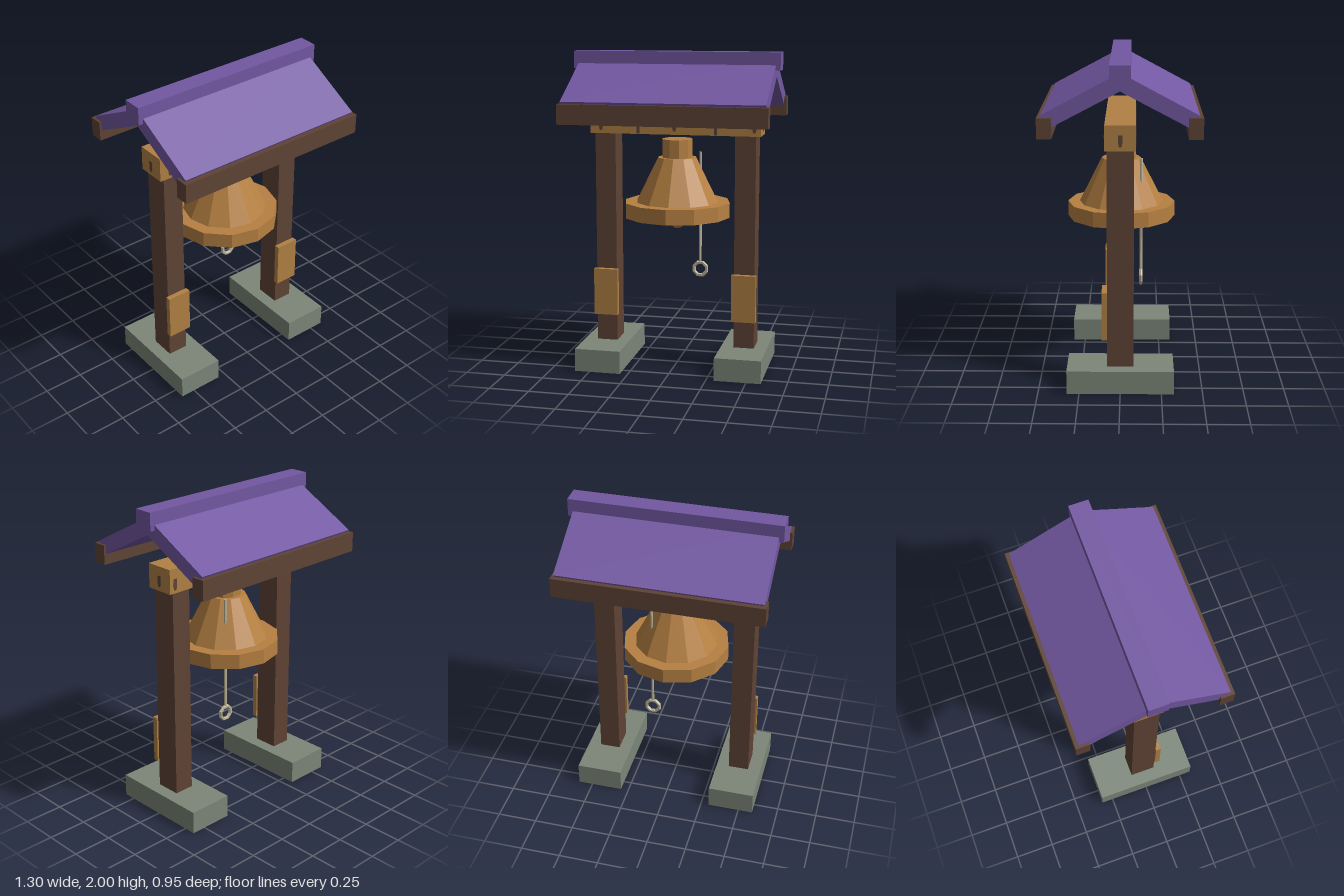
import * as THREE from 'three';

const mat = (name, color) => {
  const m = new THREE.MeshStandardMaterial({ color });
  m.name = name;
  m.flatShading = true;
  return m;
};

export function createModel() {
  const purple = mat('roof purple', 0x7358a2);
  const darkWood = mat('dark wood', 0x5f4335);
  const lightWood = mat('light wood', 0xb08144);
  const bronze = mat('bell bronze', 0xb78142);
  const stone = mat('stone', 0x7c8678);
  const cord = mat('pale cord', 0xbdb496);
  const group = new THREE.Group();

  const add = (name, geometry, material, x = 0, y = 0, z = 0) => {
    const mesh = new THREE.Mesh(geometry, material);
    mesh.name = name;
    mesh.position.set(x, y, z);
    group.add(mesh);
    return mesh;
  };
  // box given by its extents on each axis
  const box = (name, material, [x0, x1], [y0, y1], [z0, z1]) =>
    add(name, new THREE.BoxGeometry(x1 - x0, y1 - y0, z1 - z0), material,
      (x0 + x1) / 2, (y0 + y1) / 2, (z0 + z1) / 2);
  const lathe = (points, sides) =>
    new THREE.LatheGeometry(points.map(p => new THREE.Vector2(...p)), sides);

  // feet, posts and the pads on their front faces
  for (const [side, s] of [['left', 1], ['right', -1]]) {
    const span = (a, b) => (s > 0 ? [a, b] : [-b, -a]);
    box(side + 'Foot', stone, span(0.3, 0.592), [0, 0.145], [-0.325, 0.325]);
    box(side + 'Post', darkWood, span(0.38, 0.51), [0.145, 1.5], [-0.08, 0.08]);
    box(side + 'PostPad', lightWood, span(0.368, 0.522), [0.32, 0.62], [0.08, 0.113]);
  }

  // head beam
  box('headBeam', lightWood, [-0.54, 0.54], [1.49, 1.642], [-0.092, 0.092]);

  // knots and grain lines on the beam
  const knot = new THREE.Shape([
    [-0.007, -0.035], [0.007, -0.035], [0.013, -0.01], [0.013, 0.035], [-0.013, 0.035], [-0.013, -0.01],
  ].map(p => new THREE.Vector2(...p)));
  const knotGeometry = new THREE.ExtrudeGeometry(knot, { depth: 0.004, bevelEnabled: false });
  for (const s of [1, -1]) {
    for (const x of [-0.47, 0, 0.5]) {
      const k = add('beamKnot', knotGeometry, darkWood, x, 1.545, s * 0.091);
      if (s < 0) k.rotation.y = Math.PI;
    }
    for (const x of [-0.23, 0.26]) {
      add('beamGrain', new THREE.BoxGeometry(0.02, 0.145, 0.006), darkWood, x, 1.566, s * 0.092);
    }
    add('beamEndKnot', knotGeometry, darkWood, s * 0.539, 1.55, 0).rotation.y = s * Math.PI / 2;
  }

  // roof: two slopes as one bent slab, with ridge cap and eave boards
  const slab = new THREE.Shape([
    [0, 1.85], [0.41, 1.634], [0.453, 1.713], [0, 1.955], [-0.453, 1.713], [-0.41, 1.634],
  ].map(p => new THREE.Vector2(...p)));
  const roof = new THREE.ExtrudeGeometry(slab, { depth: 1.24, bevelEnabled: false });
  roof.translate(0, 0, -0.62).rotateY(Math.PI / 2);
  add('roof', roof, purple);
  box('ridgeCap', purple, [-0.65, 0.65], [1.89, 2], [-0.061, 0.061]);
  box('frontEave', darkWood, [-0.635, 0.635], [1.578, 1.7], [0.39, 0.475]);
  box('backEave', darkWood, [-0.635, 0.635], [1.578, 1.7], [-0.475, -0.39]);

  // bell with a recessed dark mouth, crown and clapper
  add('bell', lathe([
    [0.29, 0.99], [0.29, 0.965], [0.336, 0.965], [0.336, 1.06], [0.262, 1.06], [0.122, 1.34], [0, 1.34],
  ], 12), bronze);
  add('bellMouth', new THREE.CircleGeometry(0.292, 12).rotateX(Math.PI / 2), darkWood, 0, 0.987, 0);
  add('bellCrown', new THREE.CylinderGeometry(0.097, 0.097, 0.12, 10).rotateY(Math.PI / 2),
    bronze, 0, 1.396, 0);
  add('clapper', new THREE.SphereGeometry(0.05, 8, 6), bronze, 0, 0.934, 0);

  // pull cord with a ring
  add('pullCord', new THREE.CylinderGeometry(0.009, 0.009, 0.715, 6), cord, 0.125, 1.0025, -0.125);
  add('pullRing', new THREE.TorusGeometry(0.044, 0.012, 6, 8).rotateZ(Math.PI / 8),
    cord, 0.125, 0.597, -0.125);

  return group;
}
